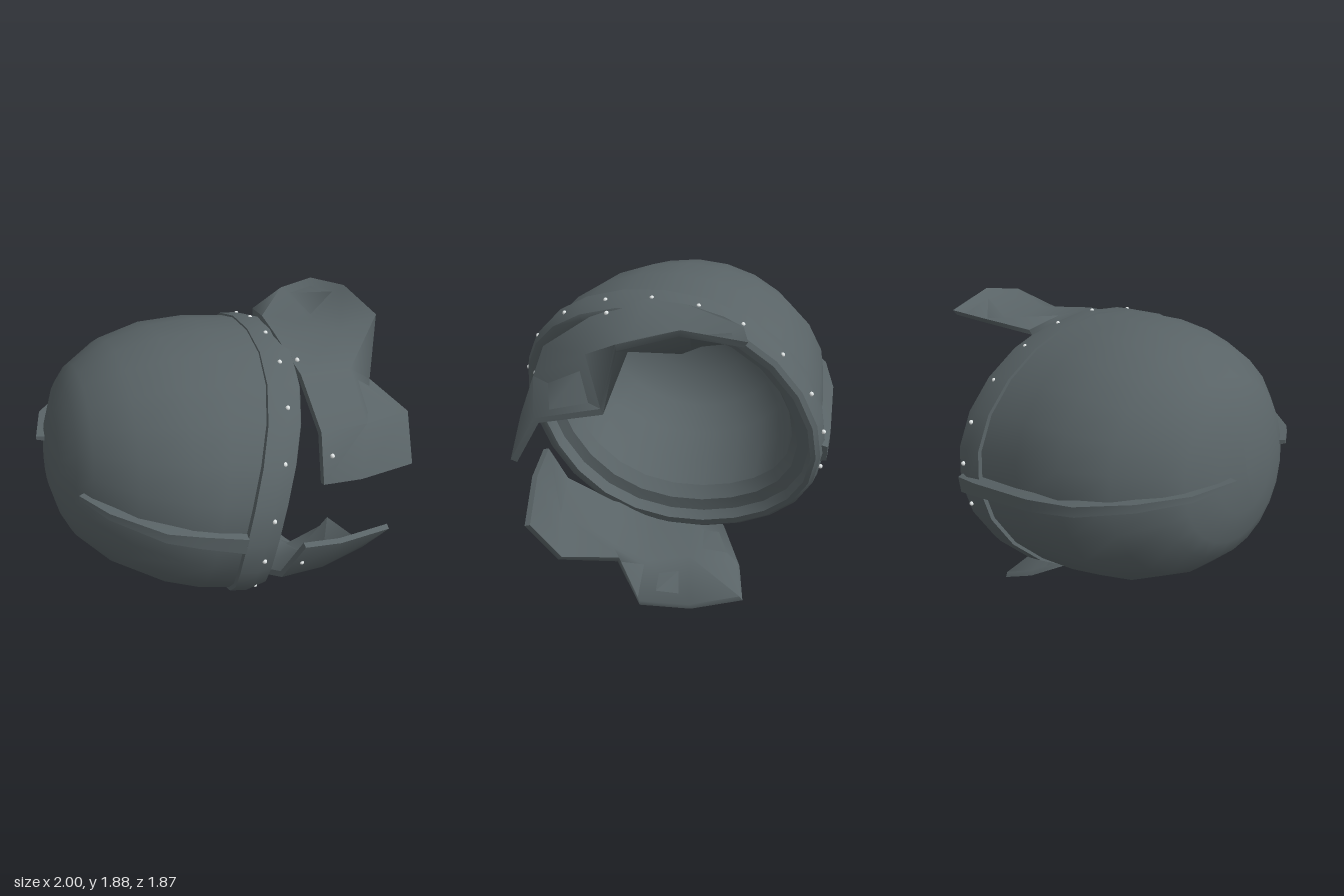
import * as THREE from 'three';
import { toCreasedNormals } from 'three/addons/utils/BufferGeometryUtils.js';

const SIDES = 24;

// Slanted helmet edge: t = +1 at the face, -1 at the nape
const edge = (t) => 0.07 - 0.06 * t - 0.045 * t * t - 0.12 * t * t * t;

// Skin a list of equal-length point loops; optional end caps for thin solids
function loft(rows, crease, capped = false) {
  const n = rows[0].length;
  const index = [];
  for (let r = 0; r < rows.length - 1; r++) {
    for (let i = 0; i < n; i++) {
      const j = (i + 1) % n;
      const a = r * n + i, b = (r + 1) * n + i, c = (r + 1) * n + j, d = r * n + j;
      index.push(a, b, c, a, c, d);
    }
  }
  if (capped) {
    const last = (rows.length - 1) * n;
    for (let i = 0; i < n / 2 - 1; i++) {
      const a = i, b = i + 1, c = n - 2 - i, d = n - 1 - i;
      index.push(a, b, c, a, c, d);
      index.push(last + a, last + c, last + b, last + a, last + d, last + c);
    }
  }
  const geometry = new THREE.BufferGeometry();
  geometry.setAttribute('position', new THREE.Float32BufferAttribute(rows.flat(2), 3));
  geometry.setIndex(index);
  return toCreasedNormals(geometry, crease);
}

// Oval loop: axial offset, share of the edge slant, half height, half depth, depth shift
function oval([off, slant, sv, sw, shift = 0]) {
  const loop = [];
  for (let i = 0; i < SIDES; i++) {
    const a = (i / SIDES) * Math.PI * 2;
    const t = Math.cos(a);
    loop.push([off + slant * edge(t), sv * Math.sin(a), shift + sw * t]);
  }
  return loop;
}

// Tapering raised ridge following an [axis, depth] path on the symmetry plane
function ridge(path, side) {
  const rows = path.map(([u, w], i) => {
    const p = path[Math.max(0, i - 1)], q = path[Math.min(path.length - 1, i + 1)];
    const du = q[0] - p[0], dw = q[1] - p[1], len = Math.hypot(du, dw);
    const nu = (-dw / len) * side, nw = (du / len) * side;
    const h = 0.015 + 0.05 * (i / (path.length - 1));
    const bu = u - nu * 0.07, bw = w - nw * 0.07;
    const loop = [[bu, -h, bw], [u, -h * 0.7, w], [u, h * 0.7, w], [bu, h, bw]];
    return side > 0 ? loop : loop.reverse();
  });
  return loft(rows, 0.5, true);
}

// Cheek guard: outer grid thickened toward the helmet axis, mirrored by s
function cheekGuard(grid, s) {
  const rows = grid.map((row) => {
    const outer = row.map(([u, v, w]) => [u, v * s, w]);
    const inner = row.map(([u, v, w]) => {
      const k = 1 - 0.035 / Math.hypot(v, w);
      return [u, v * k * s, w * k];
    }).reverse();
    const loop = [...outer, ...inner];
    return s > 0 ? loop : loop.reverse();
  });
  return loft(rows, 1.15, true);
}

export function createModel() {
  const steel = new THREE.MeshStandardMaterial({ color: 0x596366, side: THREE.DoubleSide });
  steel.name = 'dark steel';
  const rivetMetal = new THREE.MeshStandardMaterial({ color: 0xe6ebeb });
  rivetMetal.name = 'light rivet metal';

  const helmet = new THREE.Group();
  helmet.name = 'helmet';
  const add = (name, geometry, material = steel) => {
    const mesh = new THREE.Mesh(geometry, material);
    mesh.name = name;
    helmet.add(mesh);
    return mesh;
  };

  // Outer dome, from crown to edge
  add('dome', loft([
    [-0.975, 0, 0.001, 0.001, -0.07], [-0.955, 0, 0.22, 0.22, -0.06],
    [-0.895, 0, 0.385, 0.4, -0.07], [-0.835, 0, 0.48, 0.5, -0.06],
    [-0.65, 0, 0.615, 0.7, -0.043], [-0.41, 0, 0.705, 0.84, -0.025],
    [-0.2, 0.5, 0.755, 0.875, -0.01], [0, 1, 0.765, 0.89, 0.005],
  ].map(oval), 0.9));

  // Raised band, rolled around the opening to its inner lip
  add('rimBand', loft([
    [0, 1, 0.75, 0.875], [0, 1, 0.775, 0.917, 0.008], [0.1, 1, 0.78, 0.927, 0.008],
    [0.19, 1, 0.765, 0.902, 0.005], [0.21, 1, 0.74, 0.873], [0.21, 1, 0.7, 0.845],
    [0.13, 1, 0.69, 0.83], [0.11, 1, 0.62, 0.765], [0.02, 1, 0.58, 0.73],
  ].map(oval), 0.6));

  // Hollow inside
  add('interior', loft([
    [0.02, 1, 0.58, 0.73], [-0.2, 0.5, 0.58, 0.73], [-0.41, 0, 0.56, 0.69],
    [-0.65, 0, 0.5, 0.58], [-0.82, 0, 0.33, 0.38], [-0.9, 0, 0.001, 0.001],
  ].map(oval), 0.9));

  // Ridges over the brow and nape
  add('frontRidge', ridge([
    [-0.895, 0.4], [-0.78, 0.585], [-0.54, 0.8], [-0.375, 0.86], [-0.15, 0.925],
  ], 1));
  add('backRidge', ridge([
    [-1.01, -0.2], [-0.945, -0.47], [-0.77, -0.69], [-0.52, -0.87],
    [-0.24, -0.93], [0.2, -0.938], [0.36, -0.93],
  ], -1));

  // Cheek guards: hinge row, middle row and notched free edge
  const guard = [
    [[0.328, 0.214, 0.74], [0.279, 0.49, 0.66], [0.248, 0.68, 0.38],
      [0.2, 0.785, 0.08], [0.227, 0.785, -0.15], [0.26, 0.745, -0.35]],
    [[0.57, 0.222, 0.725], [0.585, 0.5, 0.605], [0.6, 0.67, 0.3],
      [0.62, 0.785, 0.06], [0.58, 0.74, -0.2], [0.49, 0.83, -0.48]],
    [[0.954, 0.234, 0.63], [0.929, 0.493, 0.48], [0.851, 0.53, 0.16],
      [0.838, 0.893, 0.06], [0.766, 0.952, -0.23], [0.708, 0.881, -0.53]],
  ];
  add('upperCheekGuard', cheekGuard(guard, 1));
  add('lowerCheekGuard', cheekGuard(guard, -1));

  // Small rivets over the upper band and on the guards
  const rivetShape = new THREE.SphereGeometry(0.013, 8, 6);
  for (const degrees of [-30, -9, 10, 31, 51, 70, 87, 103, 119, 136, 154, 171, 189]) {
    const a = THREE.MathUtils.degToRad(degrees);
    const t = Math.cos(a);
    add('rivet', rivetShape, rivetMetal).position.set(
      edge(t) + 0.095 + 0.03 * t * t, 0.773 * Math.sin(a), 0.006 + 0.918 * t);
  }
  for (const s of [1, -1]) {
    add('guardRivet', rivetShape, rivetMetal).position.set(0.362, 0.363 * s, 0.693);
    add('guardRivet', rivetShape, rivetMetal).position.set(0.263, 0.718 * s, 0.28);
  }

  // Helmet rests on its side, tipped slightly
  helmet.rotation.z = -Math.PI / 18;
  helmet.position.y = 1.066;
  const model = new THREE.Group();
  model.name = 'fallenHelmet';
  model.add(helmet);
  return model;
}
